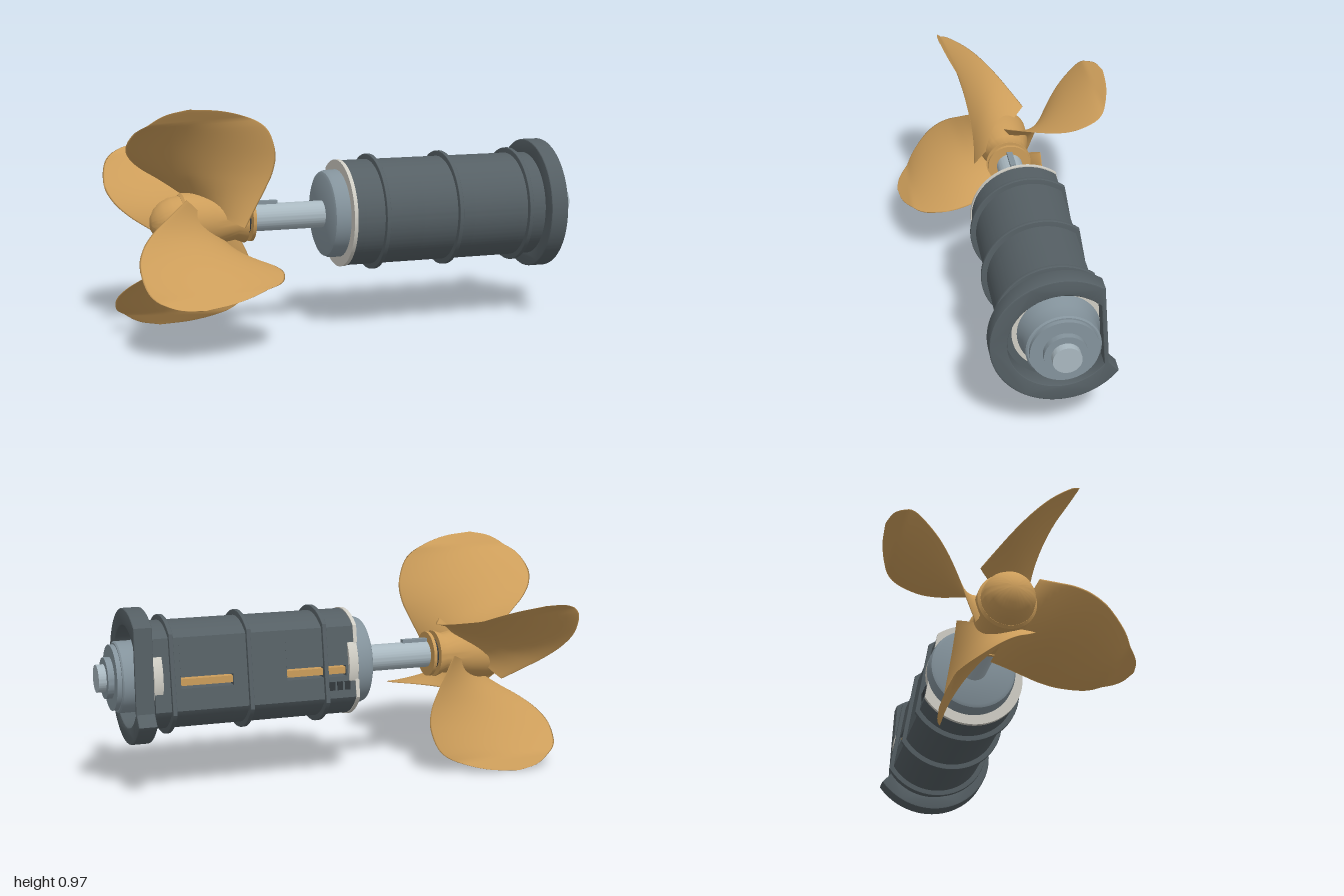
import * as THREE from 'three';
import { toCreasedNormals } from 'three/addons/utils/BufferGeometryUtils.js';

const mat = (color, side = THREE.FrontSide) => new THREE.MeshStandardMaterial({ color, side });
const SLATE = mat(0x555f64), STEEL = mat(0x84939c), PALE = mat(0xa9b8c0);
const CREAM = mat(0xcfcdc4), BRONZE = mat(0xcc9d5a), DARK = mat(0x33393d);
const BLADE = mat(0xcc9d5a, THREE.DoubleSide);
const DEG = Math.PI / 180;

function part(parent, name, geometry, material) {
  const mesh = new THREE.Mesh(geometry, material);
  mesh.name = name;
  parent.add(mesh);
  return mesh;
}

// Turned part about the x axis from [x, radius] pairs
function turned(profile, segments = 64) {
  const g = new THREE.LatheGeometry(profile.map(([x, r]) => new THREE.Vector2(r, x)), segments);
  g.rotateZ(-Math.PI / 2);
  return toCreasedNormals(g, 0.6);
}
const disc = (x0, x1, r) => turned([[x0, 0], [x0, r], [x1, r], [x1, 0]]);

// Extrude a section along x; section u runs towards the back (-z)
function alongX(shape, x0, x1, bevel = 0) {
  const g = new THREE.ExtrudeGeometry(shape, {
    depth: x1 - x0 - 2 * bevel, curveSegments: 72, bevelEnabled: bevel > 0,
    bevelSize: bevel, bevelThickness: bevel, bevelOffset: -bevel, bevelSegments: 3,
  });
  g.rotateY(Math.PI / 2).translate(x0 + bevel, 0, 0);
  return toCreasedNormals(g, 0.5);
}

// Round section with a flat on its back side, optionally notched for a slot
function section(r, notched = false) {
  const s = new THREE.Shape();
  s.absarc(0, 0, r, 51.5 * DEG, 328 * DEG, false);
  if (notched) [[0.174, -0.03], [0.11, -0.03], [0.11, 0.016], [0.167, 0.016]].forEach(p => s.lineTo(...p));
  s.closePath();
  return s;
}

// Blade: elliptical sections stacked outward, twisting with radius
function bladeGeometry() {
  // leading x, trailing x, radius
  const outline = new THREE.CatmullRomCurve3([
    [-0.76, -0.52, 0.06], [-0.84, -0.48, 0.13], [-0.92, -0.44, 0.2], [-0.975, -0.408, 0.27],
    [-1.0, -0.4, 0.34], [-0.985, -0.44, 0.44], [-0.93, -0.54, 0.5],
    [-0.87, -0.65, 0.538], [-0.79, -0.77, 0.555],
  ].map(p => new THREE.Vector3(...p)));
  const rows = 36, cols = 28, pos = [], index = [];
  for (let i = 0; i <= rows; i++) {
    const { x: x0, y: x1, z: r } = outline.getPoint(i / rows);
    const slope = Math.max(-0.08, 0.78 * (0.44 - r) / (x1 - x0));
    const skew = -0.27 * r * (0.55 - r);
    const half = 0.001 + 0.009 * (1 - i / rows) ** 2, len = Math.hypot(1, slope);
    for (let j = 0; j < cols; j++) {
      const f = (j / cols) * Math.PI * 2;
      const a = Math.cos(f) * (x1 - x0) / 2, h = Math.sin(f) * half / len;
      pos.push((x0 + x1) / 2 + a - h * slope, r, a * slope + h + skew);
      if (i < rows) {
        const p = i * cols + j, q = i * cols + (j + 1) % cols;
        index.push(p, p + cols, q, q, p + cols, q + cols);
      }
    }
  }
  const g = new THREE.BufferGeometry();
  g.setAttribute('position', new THREE.Float32BufferAttribute(pos, 3));
  g.setIndex(index);
  g.computeVertexNormals();
  return g;
}

export function createModel() {
  const model = new THREE.Group();
  model.name = 'propulsionUnit';
  const unit = new THREE.Group();
  unit.name = 'driveLine';
  unit.position.y = 0.487;
  model.add(unit);

  // Propeller
  const propeller = new THREE.Group();
  propeller.name = 'propeller';
  unit.add(propeller);
  part(propeller, 'hub', turned([[-0.76, 0], [-0.76, 0.108], [-0.75, 0.118], [-0.7, 0.118],
    [-0.63, 0.109], [-0.56, 0.092], [-0.525, 0.086], [-0.49, 0.1], [-0.485, 0.1], [-0.485, 0]]), BRONZE);
  part(propeller, 'noseCap', turned([[-0.88, 0], [-0.876, 0.03], [-0.86, 0.06], [-0.835, 0.085],
    [-0.8, 0.102], [-0.755, 0.108], [-0.755, 0]]), BRONZE);
  const bladeShape = bladeGeometry();
  for (let k = 0; k < 4; k++) {
    part(propeller, 'blade', bladeShape, BLADE).rotation.x = (29 + 90 * k) * DEG;
  }

  // Shaft, key and collars
  part(unit, 'shaft', disc(-0.6, -0.13, 0.057), PALE);
  part(unit, 'shaftKey', new THREE.BoxGeometry(0.14, 0.03, 0.025).translate(-0.41, 0.055, 0), STEEL);
  part(unit, 'lockRing', disc(-0.488, -0.472, 0.072), DARK);
  part(unit, 'thrustRing', disc(-0.468, -0.454, 0.096), BRONZE);

  // Housing with a flat back and two slots
  part(unit, 'endCap', turned([[-0.142, 0], [-0.142, 0.165], [-0.136, 0.178], [-0.122, 0.184],
    [-0.07, 0.186], [-0.07, 0]]), STEEL);
  part(unit, 'frontSeal', alongX(section(0.227), -0.074, -0.058), CREAM);
  const cuts = [-0.058, -0.02, 0.24, 0.47, 0.69, 0.8];
  for (let k = 0; k < 5; k++) {
    part(unit, 'housing', alongX(section(0.223, k % 2 === 1), cuts[k], cuts[k + 1]), SLATE);
  }
  for (const k of [1, 3]) {
    const w = cuts[k + 1] - cuts[k];
    part(unit, 'slotPlate', new THREE.BoxGeometry(w, 0.028, 0.05)
      .translate(cuts[k] + w / 2, -0.007, -0.136), BRONZE);
  }
  part(unit, 'frontLiner', disc(-0.07, -0.03, 0.185), CREAM);
  part(unit, 'rearLiner', disc(0.765, 0.803, 0.183), CREAM);
  for (const x of [0.072, 0.4, 0.725]) {
    part(unit, 'band', alongX(section(0.246), x - 0.009, x + 0.009, 0.003), SLATE);
  }
  for (let k = 0; k < 3; k++) {
    part(unit, 'terminal', new THREE.BoxGeometry(0.024, 0.036, 0.01)
      .translate(-0.022 + k * 0.034, -0.068, -0.179), DARK);
  }

  // Open mounting collar with a recessed face
  const collar = new THREE.Shape();
  collar.absarc(0, 0, 0.28, 54 * DEG, 324 * DEG, false);
  collar.lineTo(0.187, -0.12);
  collar.closePath();
  const recess = new THREE.Path();
  recess.absarc(0, 0, 0.21, 44 * DEG, 323 * DEG, false);
  recess.closePath();
  collar.holes.push(recess);
  part(unit, 'mountingCollar', alongX(collar, 0.803, 0.88, 0.006), SLATE);

  // Stepped rear cap
  part(unit, 'rearCap', turned([[0.79, 0], [0.79, 0.164], [0.815, 0.162], [0.85, 0.147],
    [0.917, 0.147], [0.923, 0.141], [0.923, 0]]), STEEL);
  part(unit, 'rearCapStep', disc(0.92, 0.942, 0.135), STEEL);
  part(unit, 'bearingCover', disc(0.94, 0.968, 0.085), STEEL);
  part(unit, 'shaftEnd', disc(0.96, 1.0, 0.057), PALE);
  return model;
}
